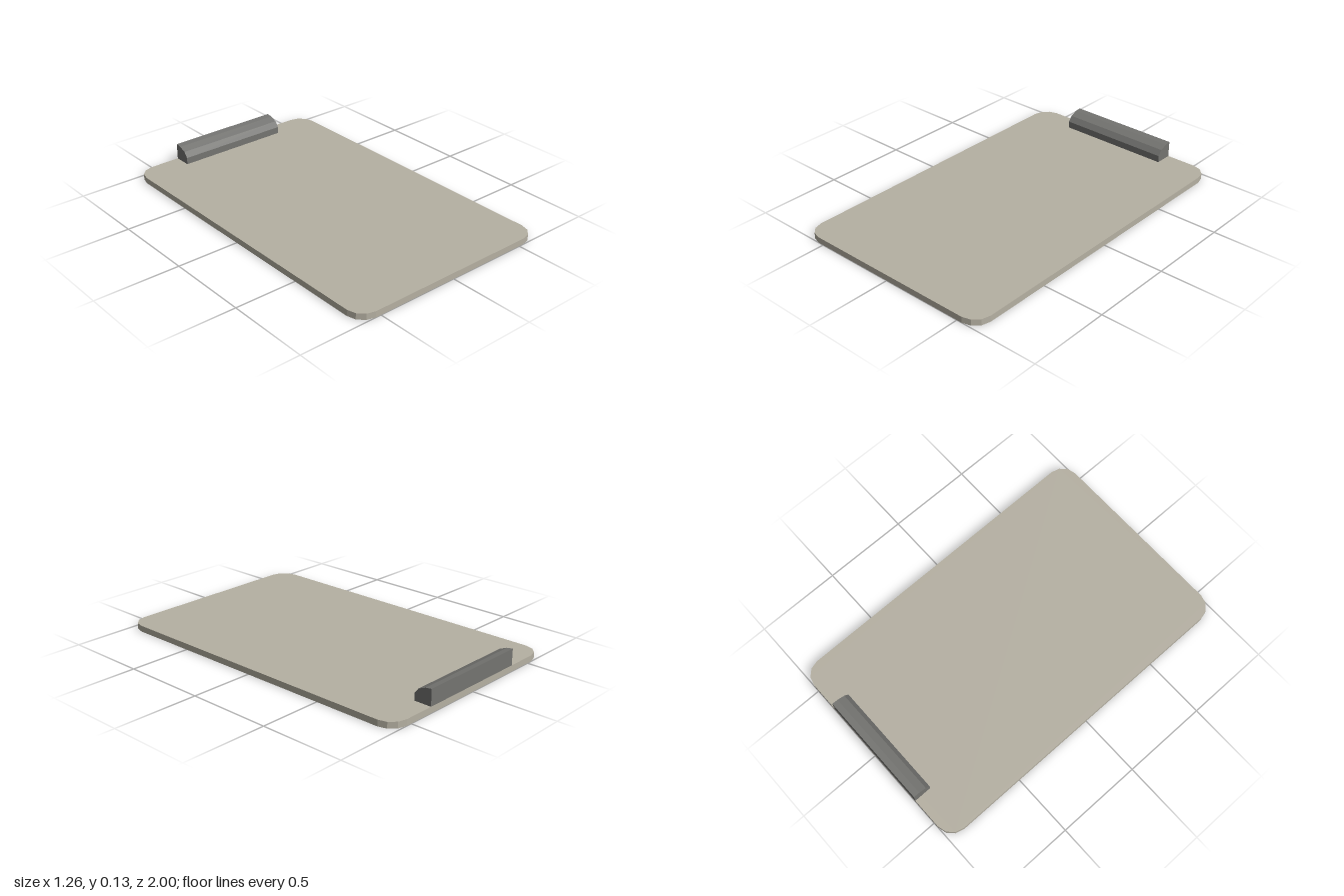
import * as THREE from 'three';

const mat = (name, color) => Object.assign(new THREE.MeshStandardMaterial({ color }), { name });

export function createModel() {
  const group = new THREE.Group();
  group.name = 'clipboard';
  const boardMat = mat('warm grey board', 0xb5b0a2);
  const clipMat = mat('dark grey clip', 0x747471);

  // Board: rounded rectangle with three facets per corner
  const halfW = 0.632, halfL = 1, r = 0.1, thick = 0.036, steps = 3;
  const outline = [];
  [[1, 1], [-1, 1], [-1, -1], [1, -1]].forEach(([sx, sy], corner) => {
    for (let i = 0; i <= steps; i++) {
      const a = (corner + i / steps) * Math.PI / 2;
      outline.push(new THREE.Vector2(
        sx * (halfW - r) + r * Math.cos(a),
        sy * (halfL - r) + r * Math.sin(a)));
    }
  });
  const boardGeo = new THREE.ExtrudeGeometry(new THREE.Shape(outline), { depth: thick, bevelEnabled: false });
  boardGeo.rotateX(-Math.PI / 2);
  const board = new THREE.Mesh(boardGeo, boardMat);
  board.name = 'board';
  group.add(board);

  // Clip: flat back, rounded front shoulder; profile is (-z, y), extruded across x
  const clipW = 0.694;
  const profile = [
    [0.895, thick], [1, thick], [1, 0.132], [0.963, 0.127], [0.919, 0.109], [0.895, 0.077],
  ].map(([u, v]) => new THREE.Vector2(u, v));
  const clipGeo = new THREE.ExtrudeGeometry(new THREE.Shape(profile), { depth: clipW, bevelEnabled: false });
  clipGeo.translate(0, 0, -clipW / 2);
  clipGeo.rotateY(Math.PI / 2);
  const clip = new THREE.Mesh(clipGeo, clipMat);
  clip.name = 'clip';
  group.add(clip);

  return group;
}
